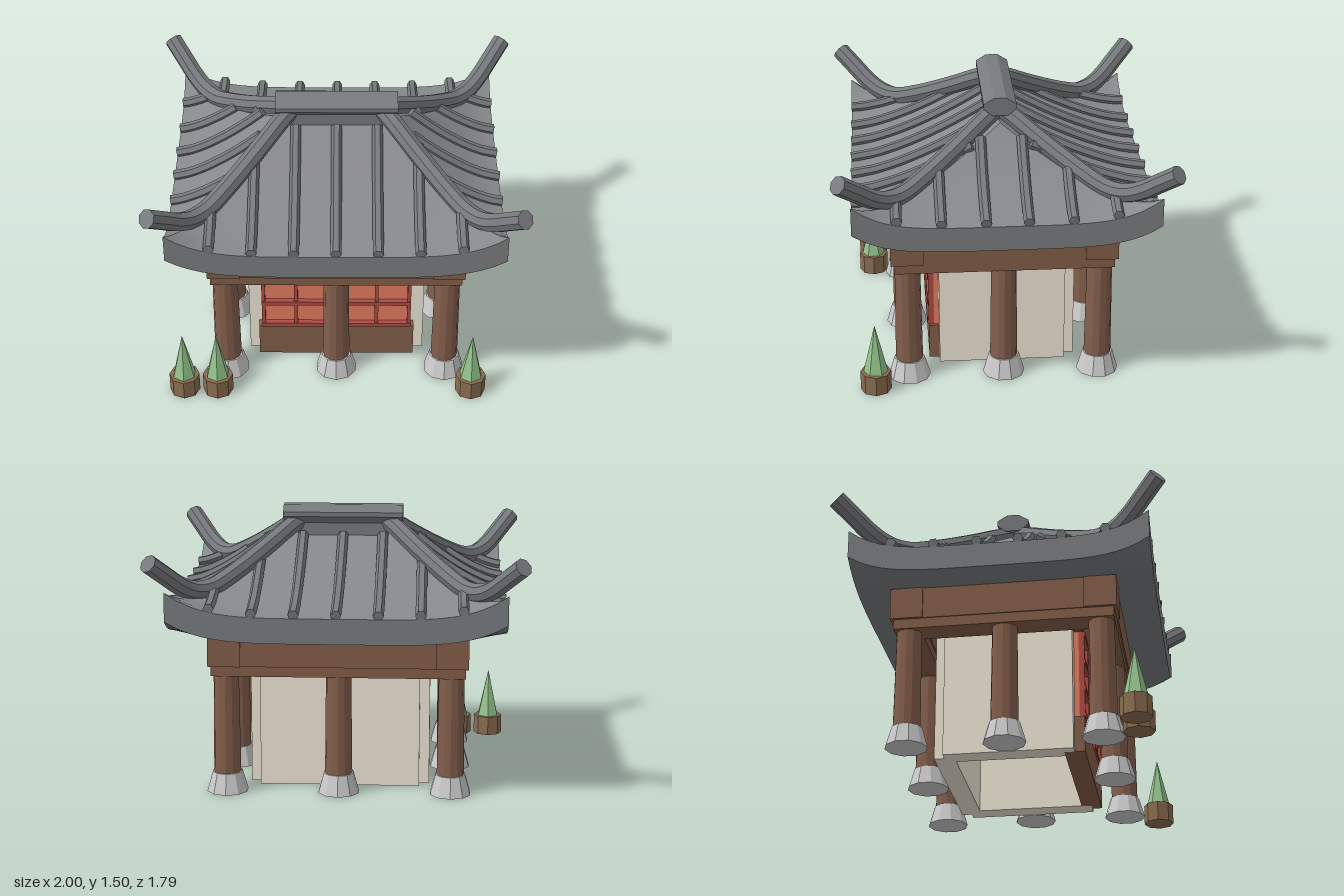
import * as THREE from 'three';
import { ParametricGeometry } from 'three/addons/geometries/ParametricGeometry.js';

const mat = (color, opts = {}) => new THREE.MeshStandardMaterial({ color, ...opts });
const flat = { flatShading: true };
const M = {
  slope: mat(0x88898c, { side: THREE.DoubleSide }),
  eave: mat(0x7a7d80, { side: THREE.DoubleSide }),
  tile: mat(0x787b7e, flat),
  wood: mat(0x845e48),
  column: mat(0x845f4c, flat),
  stone: mat(0xc4c6c2, flat),
  wall: mat(0xf0e8d8),
  screen: mat(0xe67d60),
  lattice: mat(0xb04c44),
  pot: mat(0x8a6d50, flat),
  leaf: mat(0x94c48c, flat),
};

function add(parent, name, geo, material, x = 0, y = 0, z = 0) {
  const m = new THREE.Mesh(geo, material);
  m.name = name;
  m.position.set(x, y, z);
  parent.add(m);
  return m;
}

// Box given by its minimum and maximum corners
function box(parent, name, material, [x0, y0, z0], [x1, y1, z1]) {
  return add(parent, name, new THREE.BoxGeometry(x1 - x0, y1 - y0, z1 - z0), material,
    (x0 + x1) / 2, (y0 + y1) / 2, (z0 + z1) / 2);
}

function sheet(f, nu, nv) {
  const g = new ParametricGeometry((u, v, p) => p.set(...f(u, v)), nu, nv);
  g.computeVertexNormals();
  return g;
}

// Tube along a curve; its end rings are drawn in to close the ends
function rod(points, radius, sides, segs) {
  const curve = new THREE.CatmullRomCurve3(points.map(p => new THREE.Vector3(...p)));
  const g = new THREE.TubeGeometry(curve, segs, radius, sides);
  const pos = g.attributes.position, n = sides + 1, v = new THREE.Vector3();
  for (const [end, next] of [[0, 1], [segs, segs - 1]]) {
    const c = curve.getPointAt(end / segs);
    const shift = c.clone().sub(curve.getPointAt(next / segs));
    for (let j = 0; j < n; j++) {
      v.fromBufferAttribute(pos, next * n + j).add(shift);
      pos.setXYZ(next * n + j, v.x, v.y, v.z);
      pos.setXYZ(end * n + j, c.x, c.y, c.z);
    }
  }
  g.computeVertexNormals();
  return g;
}

// Sagging roof profile, lifted sharply at the corners
const lift = s => Math.abs(s) ** 5;
const roofY = (s, t) => 1.02 + 0.34 * Math.max(0, 1 - t) ** 1.5 + 0.13 * lift(s * t);

// One roof side facing +z: slope from the ridge (half length r, offset o) to the eave (W, D)
function roofSide(name, r, W, o, D, ribXs) {
  const g = new THREE.Group();
  g.name = name;
  const at = (s, t, dy = 0) => [(r + (W - r) * t) * s, roofY(s, t) + dy, o + (D - o) * t];
  add(g, 'roofSlope', sheet((u, v) => at(v * 2 - 1, u), 14, 28), M.slope);
  add(g, 'eaveBoard', sheet((u, v) => {
    const s = u * 2 - 1;
    return [W * s, THREE.MathUtils.lerp(0.885 + 0.11 * lift(s), 1.02 + 0.13 * lift(s), v), D];
  }, 28, 1), M.eave);
  for (const x of ribXs) {
    const t0 = Math.max(0.08, (Math.abs(x) - r) / (W - r)), pts = [];
    for (let i = 0; i <= 6; i++) {
      const t = THREE.MathUtils.lerp(t0, 1, i / 6);
      pts.push(at(x / (r + (W - r) * t), t, 0.018));
    }
    add(g, 'tileRib', rod(pts, 0.029, 6, 14), M.tile);
  }
  return g;
}

function buildRoof() {
  const roof = new THREE.Group();
  roof.name = 'roof';
  const longRibs = [-0.66, -0.44, -0.22, 0, 0.22, 0.44, 0.66];
  const shortRibs = [-0.57, -0.34, -0.11, 0.11, 0.34, 0.57];
  for (let k = 0; k < 4; k++) {
    const side = k % 2
      ? roofSide('sideRoof', 0, 0.8, 0.33, 0.89, shortRibs)
      : roofSide('mainRoof', 0.33, 0.89, 0, 0.8, longRibs);
    side.rotation.y = k * Math.PI / 2;
    roof.add(side);
  }
  // Underside, rising at the corners
  add(roof, 'soffit', sheet((u, v) => {
    const a = u * 2 - 1, b = v * 2 - 1;
    return [0.89 * a, 0.885 + 0.11 * lift(a * b), 0.8 * b];
  }, 28, 28), M.eave);

  // Hip ridges with upswept tips
  const hip = [[0.24, 1.415], [0.3, 1.378], [0.4, 1.302], [0.5, 1.23], [0.6, 1.165], [0.68, 1.125],
    [0.755, 1.127], [0.82, 1.167], [0.885, 1.235], [0.957, 1.312]];
  for (const sx of [-1, 1]) for (const sz of [-1, 1]) {
    const pts = hip.map(([x, y]) => [sx * x, y, sz * (0.04 + (x - 0.27) * 1.19)]);
    add(roof, 'hipRidge', rod(pts, 0.051, 8, 28), M.tile);
  }

  // Top ridge, an eight-sided bar on a narrow base
  const half = [[0.032, 1.5], [0.088, 1.465], [0.088, 1.44], [0.045, 1.4]];
  const outline = [...half, ...half.map(([z, y]) => [-z, y]).reverse()];
  const ridge = new THREE.ExtrudeGeometry(
    new THREE.Shape(outline.map(p => new THREE.Vector2(...p))), { depth: 0.66, bevelEnabled: false });
  ridge.translate(0, 0, -0.33).rotateY(Math.PI / 2);
  add(roof, 'topRidge', ridge, M.tile);
  box(roof, 'ridgeBase', M.tile, [-0.25, 1.32, -0.045], [0.25, 1.42, 0.045]);
  return roof;
}

// Rectangular ring of beams
function ring(parent, name, X, Z, w, y0, y1) {
  for (const s of [-1, 1]) {
    box(parent, name, M.wood, [-X, y0, s * (Z - w / 2) - w / 2], [X, y1, s * (Z - w / 2) + w / 2]);
    box(parent, name, M.wood, [s * (X - w / 2) - w / 2, y0, w - Z], [s * (X - w / 2) + w / 2, y1, Z - w]);
  }
}

function buildFrame() {
  const g = new THREE.Group();
  g.name = 'timberFrame';
  ring(g, 'lowerBeam', 0.68, 0.588, 0.145, 0.655, 0.71);
  ring(g, 'upperBeam', 0.686, 0.596, 0.16, 0.71, 0.89);
  for (const i of [-1, 0, 1]) for (const j of [-1, 0, 1]) {
    if (!i && !j) continue;
    const x = i * 0.605, z = j * 0.515;
    add(g, 'column', new THREE.CylinderGeometry(0.068, 0.074, 0.56, 12), M.column, x, 0.38, z);
    add(g, 'columnBase', new THREE.CylinderGeometry(0.083, 0.114, 0.11, 10), M.stone, x, 0.055, z);
    if (i && j) add(g, 'cornerBlock', new THREE.BoxGeometry(0.175, 0.176, 0.175), M.wood,
      i * 0.6075, 0.798, j * 0.5175);
  }
  return g;
}

function buildRoom() {
  const g = new THREE.Group();
  g.name = 'room';
  // Thick walls that leave notched corners
  box(g, 'backWall', M.wall, [-0.435, 0, -0.4], [0.435, 0.885, -0.29]);
  box(g, 'leftWall', M.wall, [0.38, 0, -0.345], [0.49, 0.885, 0.345]);
  box(g, 'rightWall', M.wall, [-0.49, 0, -0.345], [-0.38, 0.885, 0.345]);
  box(g, 'frontSill', M.wood, [-0.435, 0, 0.29], [0.435, 0.2, 0.4]);
  box(g, 'frontLintel', M.wood, [-0.435, 0.7, 0.29], [0.435, 0.885, 0.4]);
  box(g, 'windowScreen', M.screen, [-0.415, 0.2, 0.29], [0.415, 0.7, 0.378]);
  // Window lattice, one panel on each side of the middle column
  for (const s of [-1, 1]) {
    for (const x of [0.04, 0.225, 0.407])
      box(g, 'latticeUpright', M.lattice, [s * x - 0.01, 0.2, 0.372], [s * x + 0.01, 0.7, 0.402]);
    for (const y of [0.215, 0.37, 0.525, 0.685])
      add(g, 'latticeRail', new THREE.BoxGeometry(0.385, 0.024, 0.036), M.lattice, s * 0.2225, y, 0.39);
  }
  return g;
}

function buildPlant(x) {
  const g = new THREE.Group();
  g.name = 'pottedTree';
  add(g, 'pot', new THREE.CylinderGeometry(0.083, 0.083, 0.11, 8), M.pot, 0, 0.055, 0);
  add(g, 'foliage', new THREE.ConeGeometry(0.066, 0.28, 6), M.leaf, 0, 0.248, 0);
  g.position.set(x, 0, 0.7);
  return g;
}

export function createModel() {
  const model = new THREE.Group();
  model.name = 'pavilion';
  model.add(buildRoof(), buildFrame(), buildRoom());
  for (const x of [-0.84, -0.655, 0.745]) model.add(buildPlant(x));
  return model;
}
